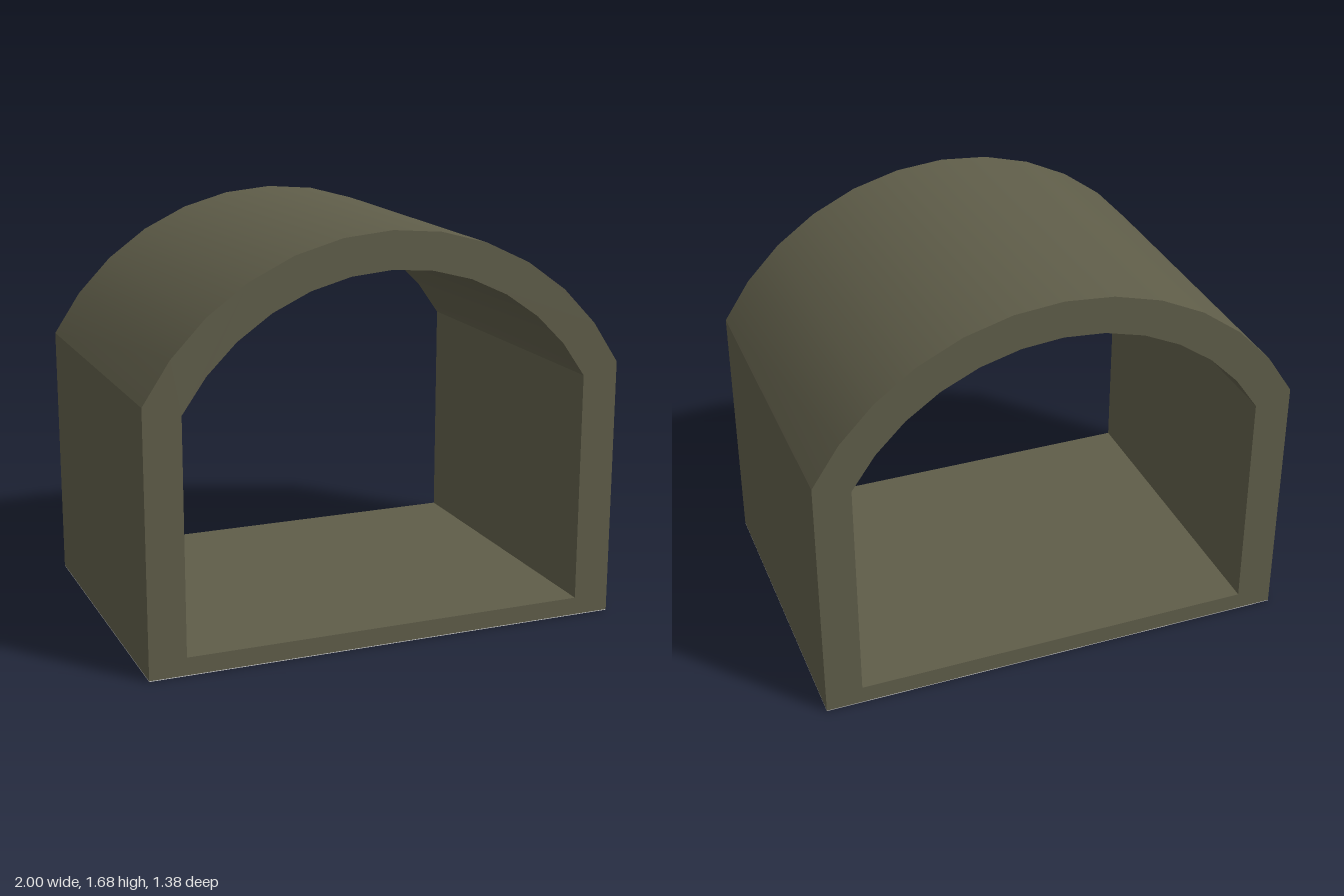
import * as THREE from 'three';
import { toCreasedNormals } from 'three/addons/utils/BufferGeometryUtils.js';

const DEPTH = 1.38;
const PLATE = 0.003;
const SEGMENTS = 12;

// Closed outline: straight walls topped by a shallow circular arch
function archOutline(halfWidth, bottom, spring, crown) {
  const rise = crown - spring;
  const radius = (halfWidth ** 2 + rise ** 2) / (2 * rise);
  const halfAngle = Math.asin(halfWidth / radius);
  const points = [new THREE.Vector2(-halfWidth, bottom), new THREE.Vector2(halfWidth, bottom)];
  for (let i = 0; i <= SEGMENTS; i++) {
    const a = halfAngle * (1 - (2 * i) / SEGMENTS);
    points.push(new THREE.Vector2(radius * Math.sin(a), crown - radius + radius * Math.cos(a)));
  }
  return points;
}

export function createModel() {
  const olive = new THREE.MeshStandardMaterial({ color: 0x5f5d49 });
  olive.name = 'olive';
  const grey = new THREE.MeshStandardMaterial({ color: 0xcccccc });
  grey.name = 'light grey';

  const group = new THREE.Group();
  group.name = 'archedTunnel';

  // Walls, floor and vault in one extrusion, smooth along the arch only
  const shape = new THREE.Shape(archOutline(1, PLATE, 1.08, 1.676));
  shape.holes.push(new THREE.Path(archOutline(0.848, 0.076, 1.035, 1.524)));
  const geometry = new THREE.ExtrudeGeometry(shape, { depth: DEPTH, bevelEnabled: false });
  geometry.translate(0, 0, -DEPTH / 2);
  const shell = new THREE.Mesh(toCreasedNormals(geometry, 0.3), olive);
  shell.name = 'tunnelShell';
  group.add(shell);

  // Thin underside
  const underside = new THREE.Mesh(new THREE.BoxGeometry(2, PLATE, DEPTH), grey);
  underside.position.y = PLATE / 2;
  underside.name = 'underside';
  group.add(underside);

  return group;
}
